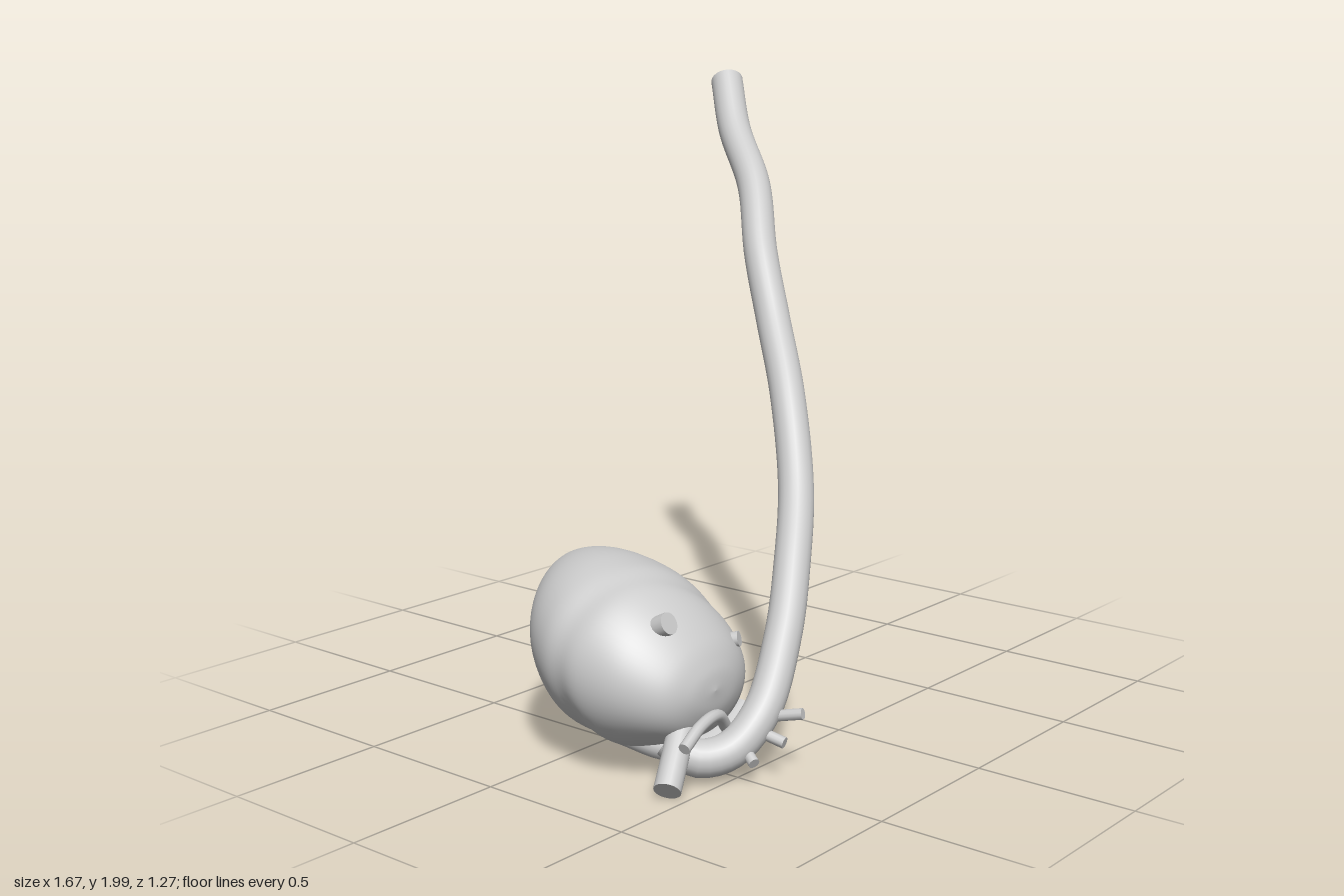
import * as THREE from 'three';

const V = (p) => new THREE.Vector3(...p);

// Rounded organ body: oval slices along z, [z, xMin, xMax, yMin, yMax]
const SLICES = [
  [-0.27, -0.40, -0.40, 0.45, 0.45],
  [-0.25, -0.47, -0.33, 0.37, 0.515],
  [-0.20, -0.60, -0.28, 0.29, 0.555],
  [-0.10, -0.73, -0.235, 0.17, 0.59],
  [0.00, -0.80, -0.22, 0.10, 0.60],
  [0.10, -0.835, -0.22, 0.08, 0.59],
  [0.20, -0.83, -0.25, 0.065, 0.57],
  [0.30, -0.80, -0.28, 0.09, 0.515],
  [0.40, -0.73, -0.34, 0.13, 0.425],
  [0.445, -0.65, -0.43, 0.20, 0.35],
  [0.46, -0.55, -0.55, 0.28, 0.28],
];

function bodyGeometry(rings = 64, sides = 64) {
  const xs = new THREE.CatmullRomCurve3(SLICES.map((s) => V([s[1], s[2], s[0]])));
  const ys = new THREE.CatmullRomCurve3(SLICES.map((s) => V([s[3], s[4], s[0]])));
  const pos = [], index = [];
  for (let i = 0; i <= rings; i++) {
    const t = i / rings;
    const a = xs.getPoint(t), b = ys.getPoint(t);
    const cx = (a.x + a.y) / 2, cy = (b.x + b.y) / 2;
    const rx = Math.abs(a.y - a.x) / 2, ry = Math.abs(b.y - b.x) / 2;
    for (let j = 0; j < sides; j++) {
      const th = (j / sides) * Math.PI * 2;
      const c = Math.cos(th), s = Math.sin(th);
      // Shallow groove that slants around the front half
      const g = (a.z - 0.2 - 0.1 * c) / 0.045;
      const k = 1 - 0.035 * Math.exp(-g * g) + 0.008 * Math.sin(3 * th + 9 * a.z);
      pos.push(cx + rx * c * k, cy + ry * s * k, a.z);
      if (i < rings) {
        const p = i * sides + j, q = i * sides + ((j + 1) % sides);
        index.push(p, q, q + sides, p, q + sides, p + sides);
      }
    }
  }
  const geo = new THREE.BufferGeometry();
  geo.setAttribute('position', new THREE.Float32BufferAttribute(pos, 3));
  geo.setIndex(index);
  geo.computeVertexNormals();
  return geo;
}

export function createModel() {
  const model = new THREE.Group();
  const material = new THREE.MeshStandardMaterial({ color: 0xcccccc });

  const add = (parent, name, geo) => {
    const mesh = new THREE.Mesh(geo, material);
    mesh.name = name;
    parent.add(mesh);
    return mesh;
  };

  // Smooth vessel through a few points, with flat caps on both ends
  const vessel = (name, points, radius, segments = 24, sides = 20) => {
    const group = new THREE.Group();
    group.name = name;
    const curve = new THREE.CatmullRomCurve3(points.map(V));
    add(group, name + 'Wall', new THREE.TubeGeometry(curve, segments, radius, sides));
    for (const end of [0, 1]) {
      const cap = add(group, name + 'Cap', new THREE.CircleGeometry(radius, sides));
      const dir = curve.getTangent(end).multiplyScalar(end ? 1 : -1);
      cap.position.copy(curve.getPoint(end));
      cap.quaternion.setFromUnitVectors(new THREE.Vector3(0, 0, 1), dir);
    }
    model.add(group);
  };

  add(model, 'body', bodyGeometry());

  // Long main vessel, leaving the base and curving up to the far end
  vessel('mainVessel', [
    [-0.64, 0.14, 0.36], [-0.61, 0.09, 0.43], [-0.53, 0.10, 0.49],
    [-0.42, 0.19, 0.52], [-0.25, 0.37, 0.47], [-0.10, 0.55, 0.39],
    [0.05, 0.74, 0.29], [0.20, 1.00, 0.14], [0.32, 1.21, -0.01],
    [0.42, 1.41, -0.14], [0.56, 1.62, -0.28], [0.68, 1.80, -0.46],
    [0.785, 1.966, -0.58],
  ], 0.056, 110, 24);

  // Small branches on the outside of the arch
  const branches = [
    [[-0.40, 0.18, 0.54], [-0.37, 0.20, 0.635]],
    [[-0.45, 0.15, 0.52], [-0.43, 0.125, 0.615]],
    [[-0.49, 0.12, 0.50], [-0.52, 0.08, 0.575]],
  ];
  branches.forEach((p, i) => vessel('archBranch' + (i + 1), p, 0.017, 4, 12));

  // Vessels around the base
  vessel('wideStub', [[-0.60, 0.19, 0.38], [-0.68, 0.12, 0.42], [-0.765, 0.045, 0.46]], 0.04, 10);
  vessel('thinVessel', [
    [-0.75, 0.175, 0.51], [-0.66, 0.212, 0.495], [-0.56, 0.212, 0.475], [-0.49, 0.15, 0.45],
  ], 0.018, 24, 12);
  vessel('lowerVessel', [
    [-0.26, 0.115, 0.33], [-0.36, 0.075, 0.34], [-0.47, 0.055, 0.33],
    [-0.57, 0.075, 0.28], [-0.66, 0.13, 0.20],
  ], 0.039, 30);

  // Short cut ends on the front of the body
  vessel('upperStub', [[-0.64, 0.44, 0.28], [-0.637, 0.48, 0.36]], 0.033, 4, 16);
  vessel('sideStub', [[-0.41, 0.36, 0.33], [-0.375, 0.38, 0.405]], 0.023, 4, 16);

  return model;
}
